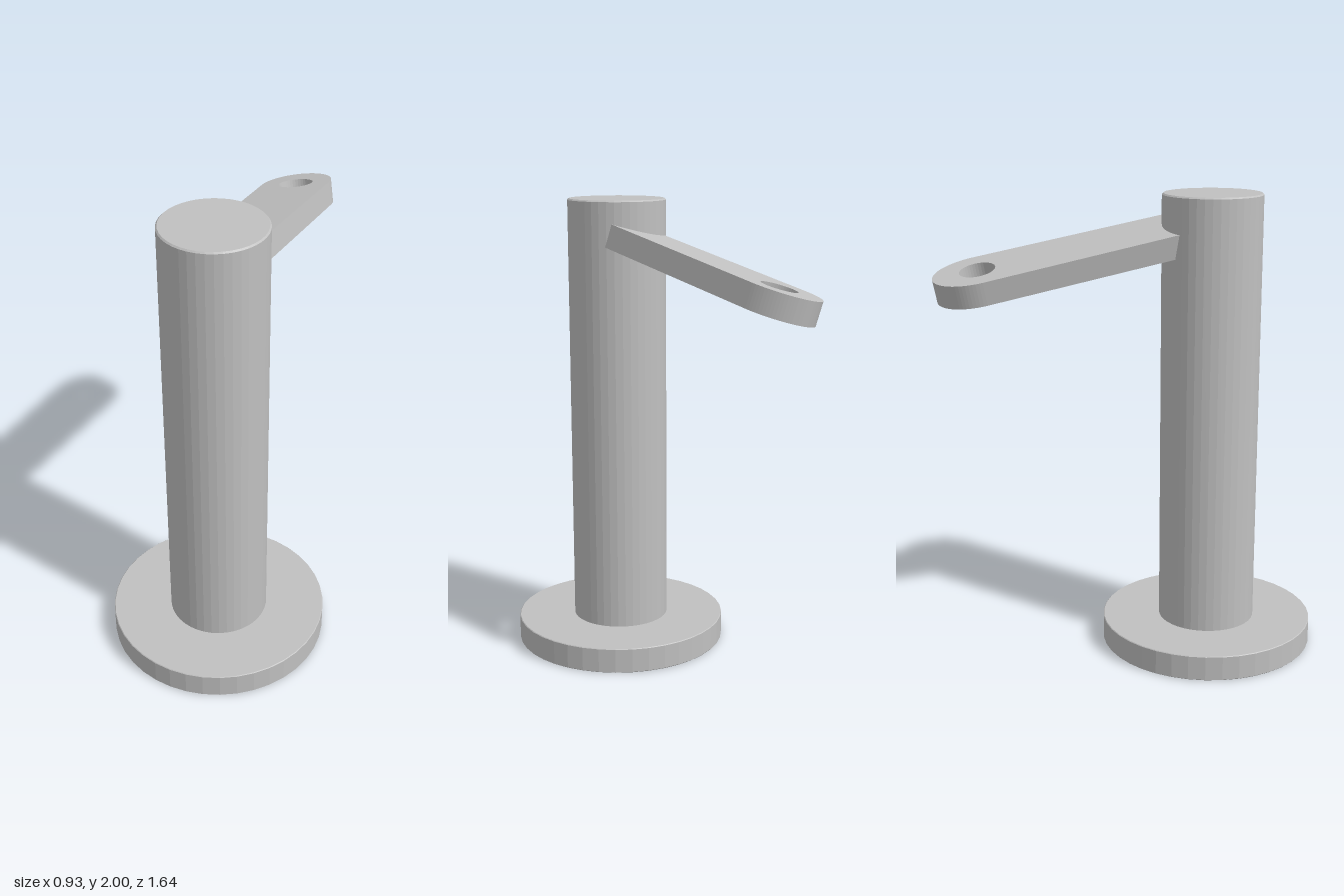
import * as THREE from 'three';

const POST_Z = 0.35;

// Faceted disc or column with small chamfered rims
function column(name, radius, y0, y1, chamfer, sides, material) {
  const profile = [
    [0, y0], [radius - chamfer, y0], [radius, y0 + chamfer],
    [radius, y1 - chamfer], [radius - chamfer, y1], [0, y1],
  ].map(([r, y]) => new THREE.Vector2(r, y));
  const geometry = new THREE.LatheGeometry(profile, sides).toNonIndexed();
  geometry.computeVertexNormals();
  const mesh = new THREE.Mesh(geometry, material);
  mesh.name = name;
  mesh.position.z = POST_Z;
  return mesh;
}

// Tapered lever with a rounded, pierced tip; the hole is at the local origin
function lever(material) {
  const tipHalf = 0.153, rootHalf = 0.138, length = 0.93, thickness = 0.1;
  const outline = new THREE.Shape();
  outline.moveTo(-rootHalf, -length);
  outline.lineTo(rootHalf, -length);
  outline.lineTo(tipHalf, 0);
  outline.absellipse(0, 0, tipHalf, 0.187, 0, Math.PI, false);
  outline.closePath();
  const hole = new THREE.Path();
  hole.absarc(0, 0, 0.075, 0, Math.PI * 2, true);
  outline.holes.push(hole);

  const geometry = new THREE.ExtrudeGeometry(outline, {
    depth: thickness, bevelEnabled: false, curveSegments: 20,
  });
  geometry.translate(0, 0, -thickness);

  // Slopes down toward the back, rolled and turned slightly sideways
  const up = new THREE.Vector3(-0.18, 0.962, -0.2).normalize();
  const toTip = new THREE.Vector3(0.043, -0.2, -1);
  toTip.addScaledVector(up, -toTip.dot(up)).normalize();
  const side = new THREE.Vector3().crossVectors(toTip, up);
  const mesh = new THREE.Mesh(geometry, material);
  mesh.name = 'lever';
  mesh.quaternion.setFromRotationMatrix(new THREE.Matrix4().makeBasis(side, toTip, up));
  mesh.position.set(0.057, 1.709, -0.635);
  return mesh;
}

export function createModel() {
  const grey = new THREE.MeshStandardMaterial({ color: 0xc0c0c0 });
  grey.name = 'plain grey';

  const model = new THREE.Group();
  model.name = 'post with lever';
  model.add(
    column('base', 0.467, 0, 0.11, 0.003, 40, grey),
    column('post', 0.213, 0.1, 2, 0.006, 40, grey),
    lever(grey),
  );
  return model;
}
